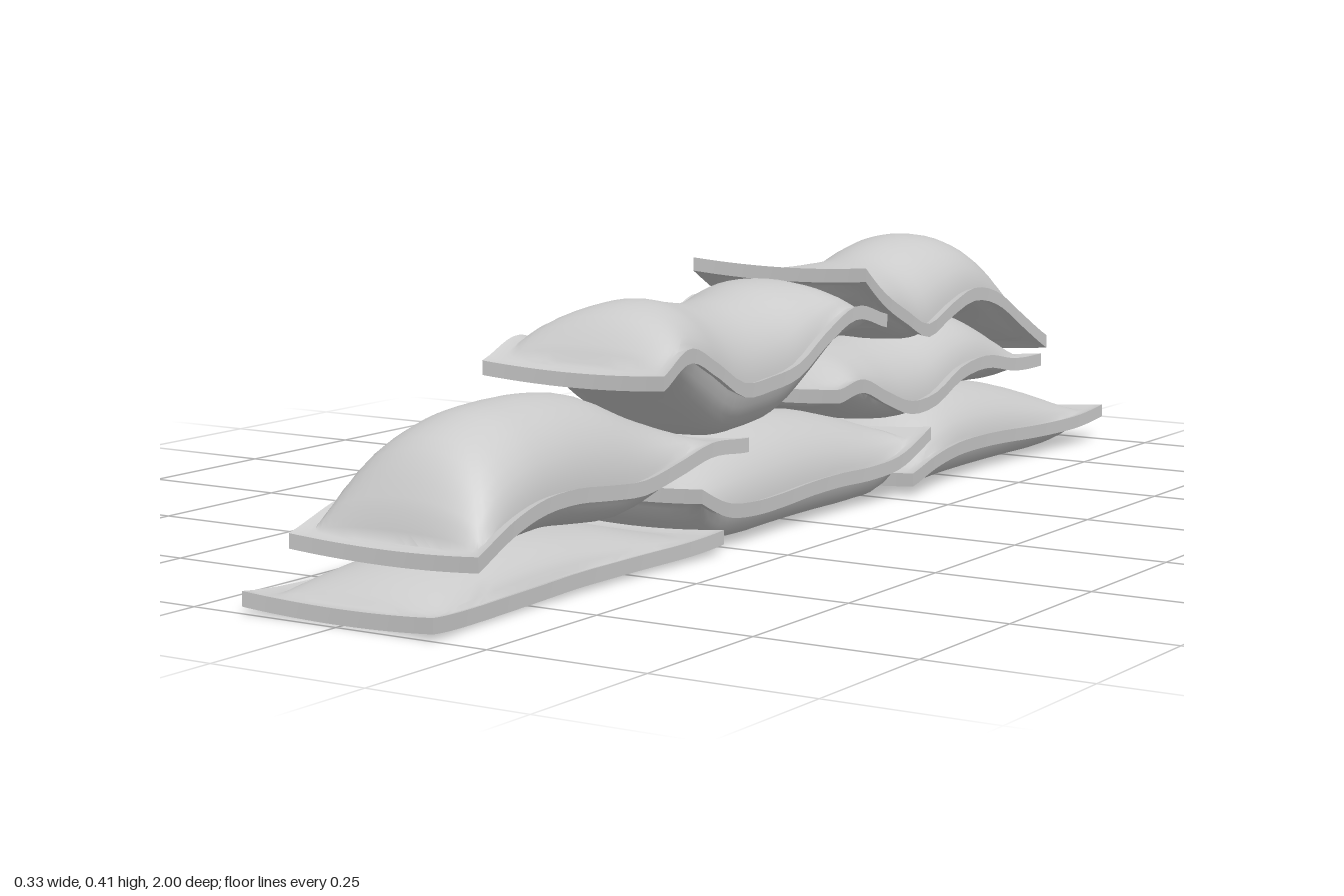
import * as THREE from 'three';
import { toCreasedNormals } from 'three/addons/utils/BufferGeometryUtils.js';

const material = new THREE.MeshStandardMaterial({ color: 0xcccccc });

// Parameters from -1 to 1: a flat flange at each end, cosine-spaced body between
function stations(count, inner) {
  const list = [-1];
  for (let i = 0; i <= count; i++) list.push(-inner * Math.cos((Math.PI * i) / count));
  list.push(1);
  return list;
}
const INNER_U = 0.955, INNER_V = 0.9;
const along = stations(36, INNER_U), across = stations(20, INNER_V);

// A stuffed bag from z0 to z1. The three lists give, at even steps along it,
// the height of the seam, the crown and the underside on the centre line.
function sandbag(name, z0, z1, seam, top, bottom, flatBase = false) {
  const profile = new THREE.CatmullRomCurve3(
    seam.map((s, i) => new THREE.Vector3(s, top[i], bottom[i])), false, 'catmullrom', 0.5);
  const positions = [], indices = [];
  const rows = along.length, cols = across.length;

  const point = (u, v, side) => {
    const p = profile.getPoint((u + 1) / 2);
    const halfWidth = 0.146 + 0.017 * u * u;
    const end = u ** 8;
    const edge = Math.abs(u) === 1 || Math.abs(v) === 1;
    const flange = edge ? 0.011 : 0.007;
    const w = Math.min(1, Math.abs(v) / INNER_V);
    const round = side > 0 ? (1 - w * w) ** 0.52 : (1 - w ** (flatBase ? 7 : 4)) ** 0.6;
    const ends = Math.min(1, Math.max(0, (INNER_U - Math.abs(u)) / 0.05));
    const bulge = (side > 0 ? p.y - p.x : p.x - p.z) * round * ends;
    const y = p.x + 0.008 * end * (v * v - 0.4) + side * Math.max(flange, bulge);
    const z = THREE.MathUtils.lerp(z0, z1, (u + 1) / 2) + Math.sign(z0 - z1) * u * end * 0.007 * (1 - v * v);
    return [v * halfWidth, Math.max(0, y), z];
  };

  // Upper and lower sheets
  for (const side of [1, -1]) {
    const base = positions.length / 3;
    for (const u of along) for (const v of across) positions.push(...point(u, v, side));
    for (let i = 0; i < rows - 1; i++) {
      for (let j = 0; j < cols - 1; j++) {
        const a = base + i * cols + j, b = a + 1, c = a + cols, d = c + 1;
        if (side > 0) indices.push(a, b, c, b, d, c);
        else indices.push(a, c, b, b, c, d);
      }
    }
  }

  // Edge strip joining the sheets round the flange
  const loop = [];
  for (let j = 0; j < cols - 1; j++) loop.push(j);
  for (let i = 0; i < rows - 1; i++) loop.push(i * cols + cols - 1);
  for (let j = cols - 1; j > 0; j--) loop.push((rows - 1) * cols + j);
  for (let i = rows - 1; i > 0; i--) loop.push(i * cols);
  loop.forEach((a, k) => {
    const b = loop[(k + 1) % loop.length], under = rows * cols;
    indices.push(a, a + under, b, b, a + under, b + under);
  });

  const geometry = new THREE.BufferGeometry();
  geometry.setAttribute('position', new THREE.Float32BufferAttribute(positions, 3));
  geometry.setIndex(indices);
  const mesh = new THREE.Mesh(toCreasedNormals(geometry, 0.75), material);
  mesh.name = name;
  return mesh;
}

export function createModel() {
  const group = new THREE.Group();
  group.name = 'sandbagPile';
  group.add(
    // Bottom course, flat on the ground
    sandbag('bottomFrontBag', 1, 0.29,
      [0.016, 0.015, 0.015, 0.016, 0.018, 0.018, 0.018, 0.018, 0.02],
      [0.016, 0.055, 0.072, 0.08, 0.08, 0.072, 0.06, 0.04, 0.02],
      [0.006, 0, 0, 0, 0, 0, 0, 0, 0.006], true),
    sandbag('bottomMiddleBag', 0.35, -0.35,
      [0.09, 0.06, 0.05, 0.05, 0.054, 0.055, 0.053, 0.06, 0.092],
      [0.09, 0.13, 0.15, 0.16, 0.163, 0.158, 0.146, 0.125, 0.095],
      [0.08, 0.012, 0, 0, 0, 0, 0, 0.01, 0.082], true),
    sandbag('bottomBackBag', -0.29, -1,
      [0.022, 0.042, 0.052, 0.053, 0.05, 0.045, 0.042, 0.042, 0.048],
      [0.022, 0.09, 0.13, 0.142, 0.14, 0.13, 0.113, 0.088, 0.05],
      [0.012, 0, 0, 0, 0, 0, 0, 0.008, 0.038], true),
    // Second course
    sandbag('secondFrontBag', 0.9, 0.22,
      [0.08, 0.115, 0.135, 0.138, 0.13, 0.125, 0.14, 0.158, 0.15],
      [0.08, 0.21, 0.252, 0.262, 0.262, 0.25, 0.215, 0.182, 0.15],
      [0.07, 0.074, 0.08, 0.083, 0.075, 0.07, 0.09, 0.12, 0.14]),
    sandbag('secondBackBag', -0.05, -0.75,
      [0.19, 0.2, 0.17, 0.143, 0.147, 0.18, 0.19, 0.175, 0.17],
      [0.19, 0.24, 0.25, 0.25, 0.255, 0.272, 0.275, 0.24, 0.17],
      [0.175, 0.155, 0.13, 0.118, 0.12, 0.14, 0.145, 0.145, 0.16]),
    // Top course, sagging over the bags below
    sandbag('topFrontBag', 0.45, -0.2,
      [0.27, 0.305, 0.275, 0.235, 0.235, 0.247, 0.29, 0.32, 0.295],
      [0.27, 0.35, 0.372, 0.36, 0.35, 0.356, 0.368, 0.362, 0.3],
      [0.26, 0.25, 0.2, 0.158, 0.155, 0.165, 0.205, 0.26, 0.285]),
    sandbag('topBackBag', -0.13, -0.77,
      [0.375, 0.33, 0.295, 0.265, 0.29, 0.31, 0.295, 0.25, 0.2],
      [0.38, 0.376, 0.376, 0.38, 0.398, 0.406, 0.39, 0.325, 0.2],
      [0.365, 0.3, 0.265, 0.245, 0.265, 0.285, 0.265, 0.225, 0.19]),
  );
  return group;
}
